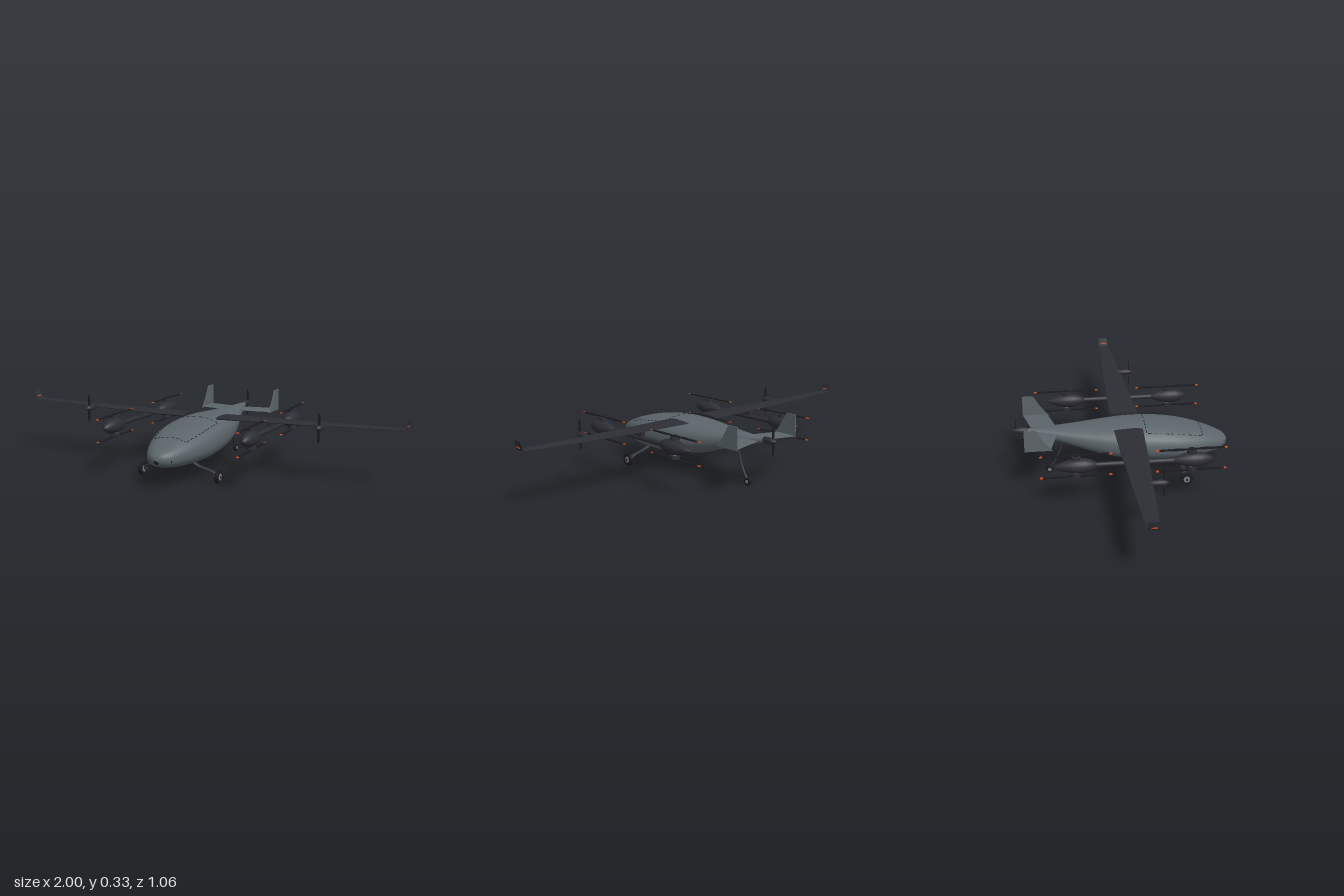
import * as THREE from 'three';
import { mergeGeometries } from 'three/addons/utils/BufferGeometryUtils.js';

const V = (x, y, z) => new THREE.Vector3(x, y, z);

function material(name, color) {
  const m = new THREE.MeshStandardMaterial({ color });
  m.name = name;
  return m;
}

// Skin through closed rings of points, with flat end caps
function loft(rings, flip = false) {
  const n = rings[0].length, pos = [], idx = [];
  const tri = (a, b, c) => (flip ? idx.push(a, c, b) : idx.push(a, b, c));
  rings.forEach((r) => r.forEach((p) => pos.push(p.x, p.y, p.z)));
  for (let i = 0; i < rings.length - 1; i++) {
    for (let j = 0; j < n; j++) {
      const a = i * n + j, b = i * n + ((j + 1) % n);
      tri(a, a + n, b);
      tri(b, a + n, b + n);
    }
  }
  [rings[0], rings[rings.length - 1]].forEach((r, k) => {
    const start = pos.length / 3;
    const c = r.reduce((s, p) => s.add(p), V(0, 0, 0)).divideScalar(n);
    [c, ...r].forEach((p) => pos.push(p.x, p.y, p.z));
    for (let j = 0; j < n; j++) {
      const a = start + 1 + j, b = start + 1 + ((j + 1) % n);
      if (k === 0) tri(start, a, b); else tri(start, b, a);
    }
  });
  const g = new THREE.BufferGeometry();
  g.setAttribute('position', new THREE.Float32BufferAttribute(pos, 3));
  g.setIndex(idx);
  g.computeVertexNormals();
  return g;
}

// Aerofoil panel from stations [x, y, leading z, trailing z, thickness, tilt]
function foil(stations, side) {
  const rings = stations.map(([x, y, le, te, t, tilt = 0]) =>
    Array.from({ length: 20 }, (_, j) => {
      const a = (j / 20) * Math.PI * 2;
      const h = (t / 2) * Math.sin(a) * (0.85 + 0.35 * Math.cos(a));
      return V(side * (x - Math.sin(tilt) * h), y + Math.cos(tilt) * h,
        (le + te) / 2 + ((le - te) / 2) * Math.cos(a));
    }));
  return loft(rings, side < 0);
}

// Lathe profile [radius, z] running along z
function spindle(profile, segments = 24) {
  return new THREE.LatheGeometry(profile.map(([r, z]) => new THREE.Vector2(r, z)), segments).rotateX(Math.PI / 2);
}

// Fuselage stations: z, half width, bottom, top
const STATIONS = [
  [0.528, 0.002, 0.134, 0.138], [0.515, 0.036, 0.112, 0.160], [0.48, 0.070, 0.095, 0.180],
  [0.40, 0.108, 0.083, 0.211], [0.30, 0.136, 0.076, 0.238], [0.20, 0.147, 0.075, 0.255],
  [0.10, 0.147, 0.081, 0.263], [0, 0.137, 0.093, 0.263], [-0.10, 0.117, 0.114, 0.258],
  [-0.20, 0.088, 0.146, 0.252], [-0.30, 0.056, 0.178, 0.249], [-0.40, 0.027, 0.208, 0.247],
  [-0.47, 0.010, 0.228, 0.246],
];
const curveOf = (pts) => new THREE.CatmullRomCurve3(pts, false, 'catmullrom');
const zCurve = curveOf(STATIONS.map((s) => V(s[0], 0, 0)));
const sizeCurve = curveOf(STATIONS.map((s) => V(s[1], s[2], s[3])));

function hullPoint(t, angle, grow = 0) {
  const s = sizeCurve.getPoint(t), c = Math.cos(angle), n = Math.sin(angle);
  const soft = (v) => Math.sign(v) * Math.abs(v) ** 0.85;
  return V((s.x + grow) * soft(c), (s.y + s.z) / 2 + ((s.z - s.y) / 2 + grow) * soft(n), zCurve.getPoint(t).x);
}

export function createModel() {
  const grey = material('hull grey', 0x5b656a);
  const dark = material('wing charcoal', 0x2d2d35);
  const black = material('rubber black', 0x1b1b20);
  const metal = material('hub grey', 0x74797d);
  const orange = material('tip orange', 0xd2501e);

  const model = new THREE.Group();
  model.name = 'tiltlessLiftAircraft';
  const add = (parent, name, geometry, mat, x = 0, y = 0, z = 0) => {
    const m = new THREE.Mesh(geometry, mat);
    m.name = name;
    m.position.set(x, y, z);
    parent.add(m);
    return m;
  };

  // Fuselage
  const hull = Array.from({ length: 61 }, (_, i) =>
    Array.from({ length: 40 }, (_, j) => hullPoint(i / 60, (j / 40) * Math.PI * 2)));
  add(model, 'fuselage', loft(hull), grey);

  // Dashed hatch outline on the upper hull
  const dashes = [];
  const dashed = (path, count) => {
    for (let i = 0; i < count; i++) {
      const line = new THREE.LineCurve3(path((i + 0.15) / count), path((i + 0.75) / count));
      dashes.push(new THREE.TubeGeometry(line, 1, 0.0018, 5));
    }
  };
  const front = 3.1 / 12, rear = 5.9 / 12, edge = 0.8;
  for (const a of [edge, Math.PI - edge]) dashed((t) => hullPoint(front + (rear - front) * t, a), 10);
  for (const t0 of [front, rear]) dashed((t) => hullPoint(t0, edge + (Math.PI - 2 * edge) * t, 0.0005), 8);
  add(model, 'hatchSeam', mergeGeometries(dashes), black);

  // Nose sensor and probes
  add(model, 'noseSensor', new THREE.SphereGeometry(0.013, 16, 12), black, 0, 0.128, 0.517);

  // Two-blade propeller in the xy plane
  const bladeShape = (pts) => {
    const outline = [...pts.map(([w, r]) => new THREE.Vector2(w, r)),
      ...pts.slice().reverse().map(([w, r]) => new THREE.Vector2(-w * 0.7, r))];
    return new THREE.ExtrudeGeometry(new THREE.Shape(outline), { depth: 0.004, bevelEnabled: false }).translate(0, 0, -0.002);
  };
  function propeller(name, radius, width, tipMat) {
    const g = new THREE.Group();
    g.name = name;
    for (const turn of [0, Math.PI]) {
      const R = radius, w = width;
      const blade = bladeShape([[w * 0.4, 0], [w * 0.5, R * 0.12], [w, R * 0.35], [w * 0.8, R * 0.7], [w * 0.6, R * 0.92]]);
      const tip = bladeShape([[w * 0.6, R * 0.92], [w * 0.4, R]]);
      add(g, 'blade', blade.rotateZ(turn), black);
      add(g, 'bladeTip', tip.rotateZ(turn), tipMat);
    }
    return g;
  }

  const wingStations = [
    [0.09, 0.256, 0.094, -0.045, 0.017], [0.35, 0.257, 0.082, -0.040, 0.014], [0.70, 0.262, 0.059, -0.028, 0.010],
    [0.965, 0.268, 0.040, -0.016, 0.007], [0.983, 0.271, 0.039, -0.016, 0.006, 0.6],
    [0.989, 0.280, 0.036, -0.016, 0.005, 1.2], [0.998, 0.315, 0.030, -0.015, 0.004, 1.3],
  ];
  const podProfile = [[0, -0.1], [0.008, -0.095], [0.019, -0.065], [0.030, -0.03], [0.0355, 0.005],
    [0.034, 0.04], [0.025, 0.07], [0.013, 0.092], [0, 0.1]];
  const nacelleProfile = [[0, -0.085], [0.008, -0.07], [0.014, -0.04], [0.016, -0.01], [0.014, 0.004], [0.009, 0.014], [0, 0.022]];

  for (const s of [1, -1]) {
    const half = new THREE.Group();
    half.name = s > 0 ? 'leftSide' : 'rightSide';
    model.add(half);

    // Wing with upturned tip and orange stripe
    add(half, 'wing', foil(wingStations, s), dark);
    const stripe = add(half, 'wingletStripe', new THREE.BoxGeometry(0.007, 0.006, 0.026), orange, s * 0.990, 0.283, 0.012);
    stripe.rotation.z = -s * 0.25;

    // Lift boom, pods and paired rotors
    const bx = s * 0.353;
    add(half, 'boom', new THREE.CylinderGeometry(0.012, 0.012, 0.5, 16).rotateX(Math.PI / 2), dark, bx, 0.222, 0.02);
    add(half, 'boomPylon', new THREE.BoxGeometry(0.016, 0.03, 0.09), dark, bx, 0.242, 0.02);
    for (const z of [0.283, -0.247]) {
      add(half, 'motorPod', spindle(podProfile), dark, bx, 0.222, z);
      for (const [y, up] of [[0.275, 1], [0.168, -1]]) {
        add(half, 'motor', new THREE.CylinderGeometry(0.022, 0.022, 0.016, 24), dark, bx, y - up * 0.010, z);
        add(half, 'motorCap', new THREE.CylinderGeometry(0.012, 0.012, 0.007, 16), black, bx, y, z);
        add(half, 'motorShaft', new THREE.CylinderGeometry(0.010, 0.010, 0.03, 12), metal, bx, y - up * 0.022, z);
        const rotor = propeller('liftRotor', 0.165, 0.011, orange);
        rotor.rotation.x = Math.PI / 2;
        rotor.position.set(bx, y, z);
        half.add(rotor);
      }
    }

    // Wing cruise propeller
    add(half, 'wingNacelle', spindle(nacelleProfile), dark, s * 0.61, 0.258, 0.113);
    const prop = propeller('wingPropeller', 0.069, 0.008, black);
    prop.position.set(s * 0.61, 0.258, 0.113);
    half.add(prop);

    // Tailplane and fin
    add(half, 'tailplane', foil([[0.005, 0.228, -0.305, -0.43, 0.012], [0.19, 0.225, -0.352, -0.475, 0.008]], s), grey);
    const fin = [[0.345, 0.22], [0.475, 0.22], [0.475, 0.328], [0.42, 0.328], [0.385, 0.268]];
    const finGeo = new THREE.ExtrudeGeometry(new THREE.Shape(fin.map(([z, y]) => new THREE.Vector2(z, y))),
      { depth: 0.006, bevelEnabled: false }).rotateY(Math.PI / 2);
    add(half, 'fin', finGeo, grey, s * 0.19 - 0.003, 0, 0);

    // Main landing gear
    const leg = new THREE.CatmullRomCurve3([V(s * 0.06, 0.088, 0), V(s * 0.10, 0.068, 0), V(s * 0.14, 0.057, 0),
      V(s * 0.175, 0.046, 0), V(s * 0.195, 0.032, 0)]);
    add(half, 'mainLeg', new THREE.TubeGeometry(leg, 20, 0.0065, 10).scale(1, 1, 2), dark, 0, 0, 0.288);
    add(half, 'mainWheel', new THREE.CylinderGeometry(0.030, 0.030, 0.016, 28).rotateZ(Math.PI / 2), black, s * 0.198, 0.03, 0.295);
    add(half, 'mainHub', new THREE.CylinderGeometry(0.016, 0.016, 0.019, 20).rotateZ(Math.PI / 2), metal, s * 0.198, 0.03, 0.295);
    add(half, 'mainAxle', new THREE.CylinderGeometry(0.006, 0.006, 0.044, 12).rotateZ(Math.PI / 2), dark, s * 0.190, 0.03, 0.295);

    const probe = new THREE.LineCurve3(V(s * 0.058, 0.133, 0.488), V(s * 0.072, 0.127, 0.517));
    add(half, 'noseProbe', new THREE.TubeGeometry(probe, 1, 0.002, 8), black);
  }

  // Tail propeller
  add(model, 'tailNacelle', spindle([[0, -0.07], [0.009, -0.062], [0.015, -0.045], [0.017, -0.025], [0.014, 0], [0.008, 0.01], [0, 0.012]]),
    dark, 0, 0.238, -0.46);
  const pusher = propeller('tailPropeller', 0.069, 0.008, black);
  pusher.position.set(0, 0.238, -0.512);
  model.add(pusher);

  // Tail wheel on a bent strut
  const strut = new THREE.CatmullRomCurve3([V(0, 0.185, -0.288), V(0, 0.155, -0.294), V(0, 0.122, -0.303), V(0, 0.058, -0.331), V(0, 0.022, -0.356)]);
  add(model, 'tailStrut', new THREE.TubeGeometry(strut, 20, 0.0065, 10), dark);
  add(model, 'tailWheel', new THREE.CylinderGeometry(0.018, 0.018, 0.014, 24).rotateZ(Math.PI / 2), black, 0, 0.018, -0.357);
  add(model, 'tailHub', new THREE.CylinderGeometry(0.009, 0.009, 0.017, 16).rotateZ(Math.PI / 2), metal, 0, 0.018, -0.357);

  return model;
}
